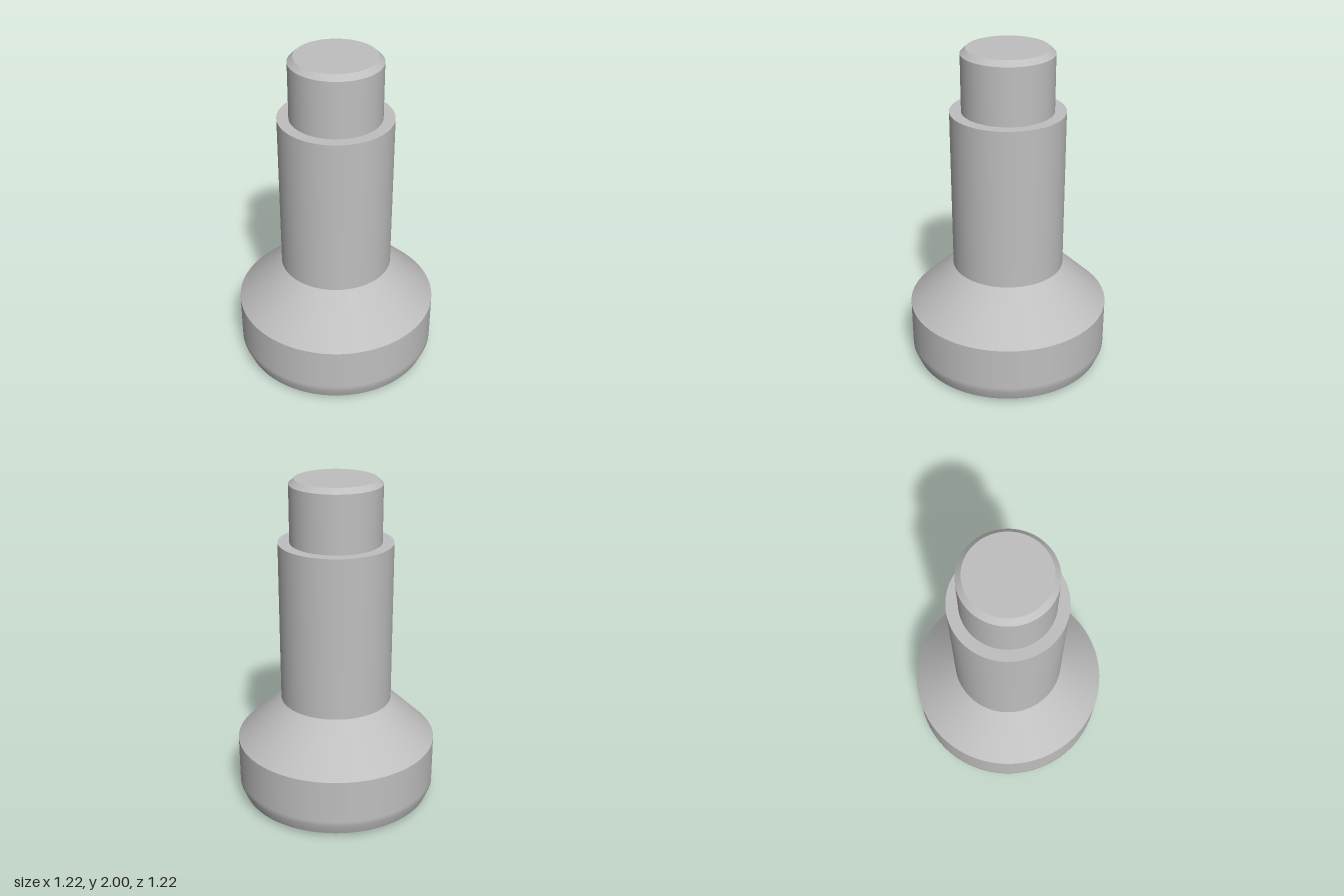
import * as THREE from 'three';

const SEGMENTS = 96;

export function createModel() {
  const model = new THREE.Group();
  model.name = 'steppedPin';
  const metal = new THREE.MeshStandardMaterial({ color: 0xbfbfbf });
  metal.name = 'plain grey';

  // Each part is a smooth band turned about y; separate bands keep sharp edges between them.
  const turn = (name, profile) => {
    const points = profile.map(([r, y]) => new THREE.Vector2(r, y));
    const mesh = new THREE.Mesh(new THREE.LatheGeometry(points, SEGMENTS), metal);
    mesh.name = name;
    model.add(mesh);
  };

  // Foot with a rounded lower edge
  turn('footUnderside', [[0, 0], [0.5, 0], [0.53, 0], [0.585, 0.027]]);
  turn('footWall', [[0.585, 0.027], [0.61, 0.09], [0.61, 0.12], [0.61, 0.385]]);
  turn('footCone', [[0.61, 0.385], [0.338, 0.648]]);

  // Shank and its flat shoulder
  turn('shank', [[0.338, 0.648], [0.338, 1.63]]);
  turn('shoulder', [[0.338, 1.63], [0.27, 1.63]]);

  // Narrow pin with a chamfered tip
  turn('pin', [[0.27, 1.63], [0.27, 1.97]]);
  turn('tipChamfer', [[0.27, 1.97], [0.238, 2]]);
  turn('tipFace', [[0.238, 2], [0, 2]]);

  return model;
}
